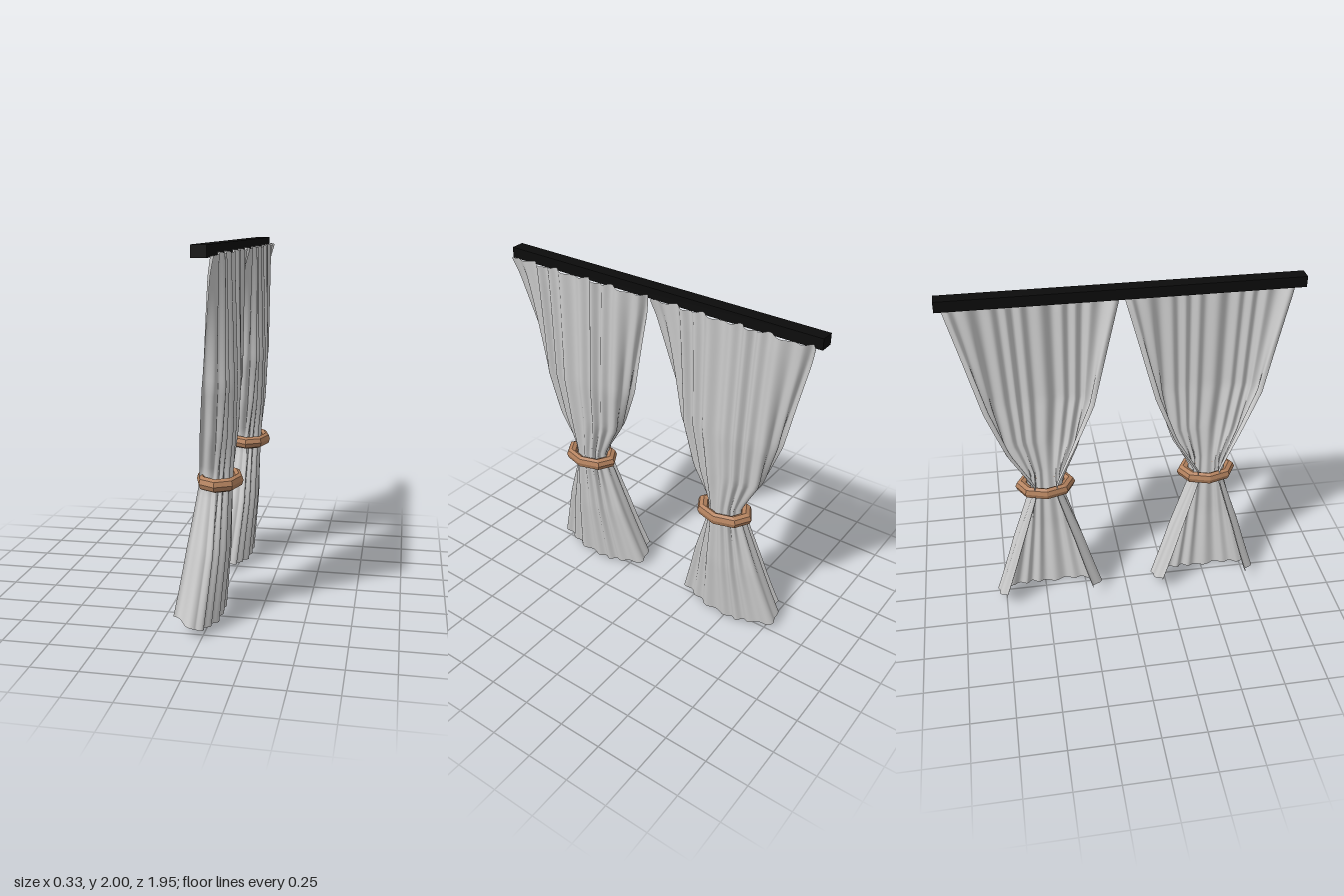
import * as THREE from 'three';

// Half cross-sections of one curtain: height, sideways shift, fold depth,
// then [depth x, half width] from the middle of the cloth to its free edge
const LEVELS = [
  { y: 1.955, shift: 0, fold: 0.017, pts: [[0.103, 0], [0.103, 0.16], [0.102, 0.32], [0.098, 0.478]] },
  { y: 1.86, shift: 0, fold: 0.016, pts: [[0.105, 0], [0.105, 0.155], [0.102, 0.31], [0.075, 0.452]] },
  { y: 1.3, shift: 0.008, fold: 0.017, pts: [[0.12, 0], [0.115, 0.14], [0.09, 0.262], [0.005, 0.295]] },
  { y: 1.03, shift: 0.0, fold: 0.015, pts: [[0.112, 0], [0.102, 0.115], [0.06, 0.205], [-0.03, 0.175]] },
  { y: 0.82, shift: 0.015, fold: 0.01, pts: [[0.105, 0], [0.08, 0.07], [0.025, 0.1], [-0.055, 0.06]] },
  { y: 0.73, shift: 0.015, fold: 0.01, pts: [[0.1, 0], [0.075, 0.07], [0.015, 0.095], [-0.062, 0.06]] },
  { y: 0.4, shift: 0.01, fold: 0.012, pts: [[0.085, 0], [0.065, 0.11], [0.005, 0.205], [-0.108, 0.155]] },
  { y: 0, shift: 0, fold: 0.013, pts: [[0.045, 0], [0.03, 0.16], [-0.03, 0.32], [-0.158, 0.258]] },
];

const FOLDS = 10;

// Full mirrored section curve (x = depth, y = width) plus shift and fold depth at height y
function sectionAt(y) {
  let i = 0;
  while (i < LEVELS.length - 2 && y < LEVELS[i + 1].y) i++;
  const a = LEVELS[i], b = LEVELS[i + 1];
  const t = (a.y - y) / (a.y - b.y);
  const mix = (p, q) => p + (q - p) * t;
  const half = a.pts.map((p, k) => new THREE.Vector2(mix(p[0], b.pts[k][0]), mix(p[1], b.pts[k][1])));
  const mirrored = half.slice(1).reverse().map((p) => new THREE.Vector2(p.x, -p.y));
  return {
    curve: new THREE.SplineCurve([...mirrored, ...half]),
    shift: mix(a.shift, b.shift),
    fold: mix(a.fold, b.fold),
  };
}

// Pleated cloth lofted through the sections
function curtainGeometry() {
  const cols = 120, rows = 48;
  const geo = new THREE.PlaneGeometry(1, 1, cols, rows);
  const pos = geo.attributes.position;
  for (let r = 0; r <= rows; r++) {
    const v = r / rows;
    const y = 1.955 * (1 - v);
    const { curve, shift, fold } = sectionAt(y);
    for (let c = 0; c <= cols; c++) {
      const u = c / cols;
      const p = curve.getPoint(u);
      const tan = curve.getTangent(u);
      // uneven pleats, pushed along the outward normal
      const phase = Math.PI * 2 * (FOLDS * u + 0.18 * Math.sin(u * 17));
      const wave = fold * (0.8 * Math.cos(phase) + 0.2 * Math.sin(phase * 0.5 + 1));
      // hem rises toward the free edges, heading is slightly scalloped
      const edge = Math.abs(2 * u - 1);
      const hem = 0.088 * Math.pow(edge, 1.6) * Math.pow(v, 6);
      const heading = 0.008 * Math.sin(phase * 0.5) * Math.pow(1 - v, 10);
      pos.setXYZ(r * (cols + 1) + c, p.x + tan.y * wave, y + hem + heading, p.y - tan.x * wave + shift);
    }
  }
  geo.computeVertexNormals();
  return geo;
}

function add(parent, name, geometry, material) {
  const mesh = new THREE.Mesh(geometry, material);
  mesh.name = name;
  parent.add(mesh);
  return mesh;
}

export function createModel() {
  const model = new THREE.Group();
  model.name = 'curtains';

  const cloth = new THREE.MeshStandardMaterial({ color: 0xcccccc, side: THREE.DoubleSide });
  const wood = new THREE.MeshStandardMaterial({ color: 0xb5835f, flatShading: true });
  const black = new THREE.MeshStandardMaterial({ color: 0x0c0c0c });

  // Square rail along the top
  add(model, 'rail', new THREE.BoxGeometry(0.077, 0.06, 1.95), black).position.set(0.038, 1.97, 0);

  const clothGeo = curtainGeometry();
  // Eight-sided oval tie ring
  const ringGeo = new THREE.TorusGeometry(0.139, 0.036, 8, 8).rotateX(Math.PI / 2).scale(0.715, 1, 1);

  for (const [side, z] of [['left', -0.48], ['right', 0.48]]) {
    const panel = new THREE.Group();
    panel.name = side + 'Panel';
    panel.position.z = z;
    add(panel, 'curtain', clothGeo, cloth);
    add(panel, 'tieRing', ringGeo, wood).position.set(0.04, 0.772, 0.015);
    model.add(panel);
  }
  return model;
}
